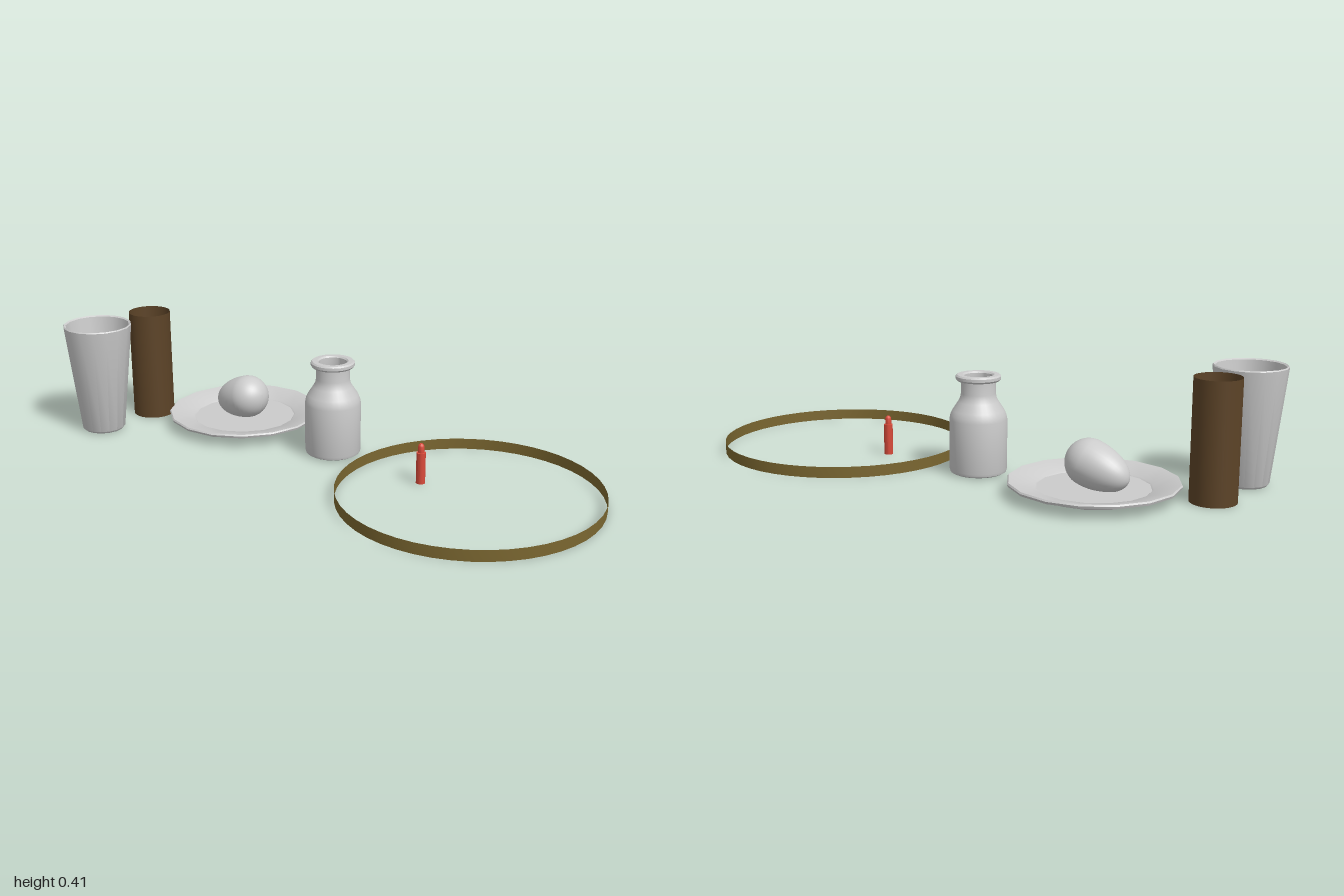
import * as THREE from 'three';
import { toCreasedNormals } from 'three/addons/utils/BufferGeometryUtils.js';

const GREY = 0xcccccc;

// Turned part from [radius, height] points, listed bottom to top on the outside
function turned(name, points, sides, x, z, color = GREY) {
  const profile = points.map(([r, y]) => new THREE.Vector2(r, y));
  const geometry = toCreasedNormals(new THREE.LatheGeometry(profile, sides), 0.6);
  const material = new THREE.MeshStandardMaterial({ color, side: THREE.DoubleSide });
  const mesh = new THREE.Mesh(geometry, material);
  mesh.name = name;
  mesh.position.set(x, 0, z);
  return mesh;
}

// Egg lying on its side: a round end that narrows towards the tip
function createEgg() {
  const geometry = new THREE.SphereGeometry(0.08, 32, 24);
  const p = geometry.attributes.position;
  for (let i = 0; i < p.count; i++) {
    const y = p.getY(i);
    if (y > 0) p.setY(i, y * 1.9);
  }
  geometry.computeVertexNormals();
  const egg = new THREE.Mesh(geometry, new THREE.MeshStandardMaterial({ color: GREY }));
  egg.name = 'egg';
  egg.position.set(-0.51, 0.11, -0.045);
  egg.rotation.z = Math.PI / 2 + 0.3;
  return egg;
}

export function createModel() {
  const group = new THREE.Group();
  group.name = 'tableware';

  // Tapered drinking cup with a hollow inside
  group.add(turned('cup', [
    [0, 0.005], [0.073, 0.005], [0.08, 0.013], [0.124, 0.4], [0.125, 0.408],
    [0.122, 0.412], [0.116, 0.408], [0.069, 0.025], [0, 0.025],
  ], 16, -0.875, 0.365));

  // Open tube
  group.add(turned('tube', [[0.078, 0.003], [0.078, 0.41]], 32, -0.875, 0.12, 0x5c4327));

  // Plate with a sunken well and a flared rim
  group.add(turned('plate', [
    [0, 0.01], [0.19, 0.01], [0.197, 0.022], [0.284, 0.042], [0.287, 0.05],
    [0.283, 0.055], [0.195, 0.034], [0.19, 0.03], [0, 0.03],
  ], 16, -0.53, -0.045));

  group.add(createEgg());

  // Bottle with rounded shoulder, neck, rolled lip and open mouth
  group.add(turned('bottle', [
    [0, 0.005], [0.088, 0.005], [0.097, 0.01], [0.1, 0.02], [0.1, 0.195],
    [0.097, 0.21], [0.09, 0.226], [0.07, 0.256], [0.063, 0.27], [0.06, 0.285],
    [0.06, 0.328], [0.073, 0.329], [0.078, 0.335], [0.078, 0.345], [0.073, 0.35],
    [0.055, 0.35], [0.05, 0.345], [0.05, 0.28], [0.058, 0.258], [0.085, 0.21],
    [0.09, 0.19], [0.09, 0.025], [0, 0.02],
  ], 32, -0.065, -0.045));

  // Small stick with a narrower rounded tip
  group.add(turned('stick', [
    [0, 0.004], [0.016, 0.004], [0.016, 0.115], [0.011, 0.116], [0.011, 0.137],
    [0.009, 0.143], [0.005, 0.147], [0, 0.148],
  ], 16, 0.345, -0.042, 0xd84a3a));

  // Thin wide hoop
  group.add(turned('hoop', [[0.447, 0.004], [0.447, 0.043]], 48, 0.55, -0.045, 0x7a6630));

  return group;
}
